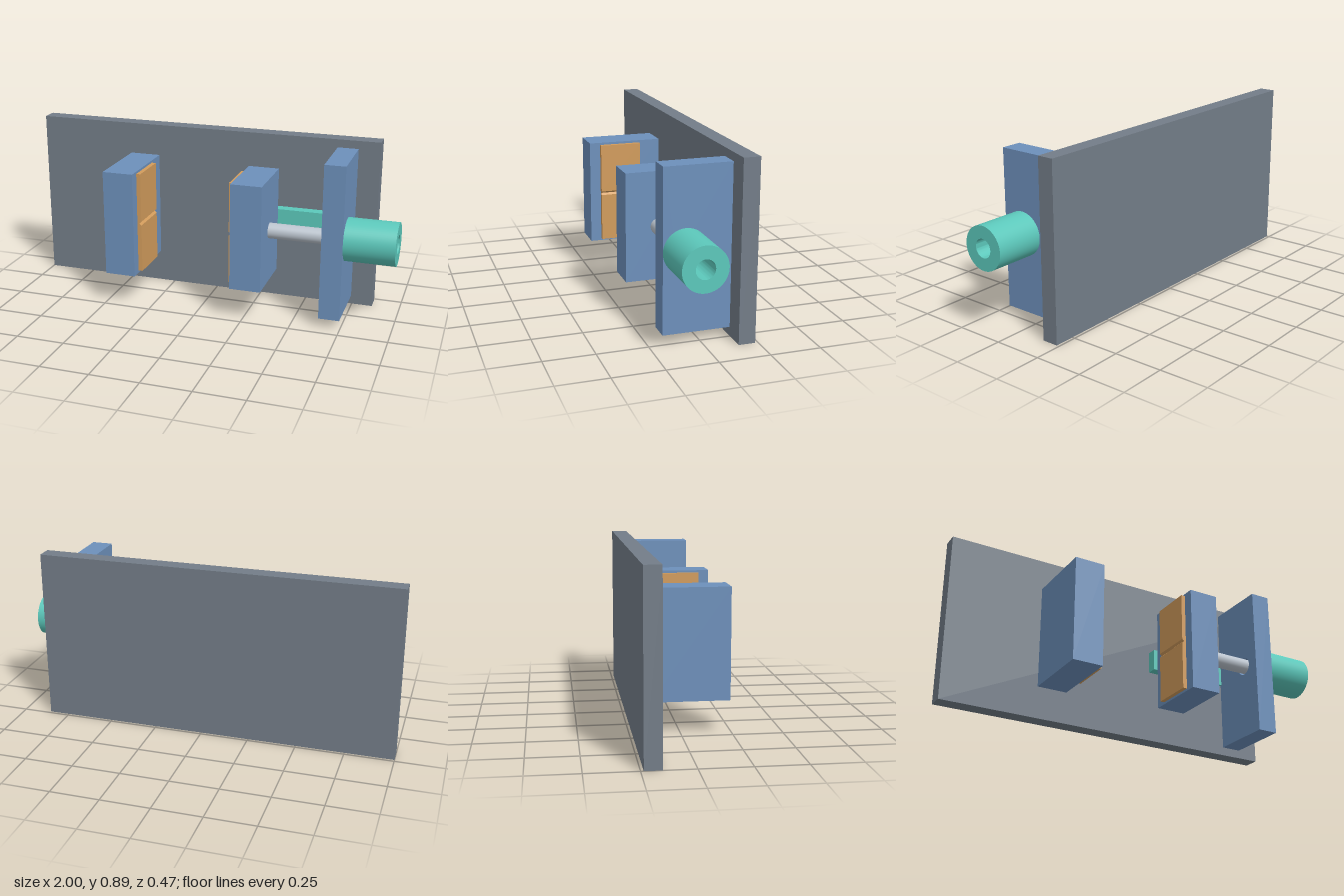
import * as THREE from 'three';
import { toCreasedNormals } from 'three/addons/utils/BufferGeometryUtils.js';

const mat = (name, color) => new THREE.MeshStandardMaterial({ name, color });

export function createModel() {
  const group = new THREE.Group();
  const grey = mat('plateGrey', 0x737d88);
  const blue = mat('jawBlue', 0x6d90bb);
  const teal = mat('driveTeal', 0x5cc8bb);
  const silver = mat('screwSilver', 0xbcc5cf);
  const orange = mat('padOrange', 0xd29c5c);

  const add = (name, geometry, material) => {
    const mesh = new THREE.Mesh(geometry, material);
    mesh.name = name;
    group.add(mesh);
    return mesh;
  };
  // box given by its limits on each axis
  const box = (name, [x0, x1], [y0, y1], [z0, z1], material) =>
    add(name, new THREE.BoxGeometry(x1 - x0, y1 - y0, z1 - z0), material)
      .position.set((x0 + x1) / 2, (y0 + y1) / 2, (z0 + z1) / 2);

  const axisY = 0.446, axisZ = 0.071, backZ = -0.153;
  const holeR = 0.047, jawY = [0.17, 0.725];

  // back plate, jaws and guide rail
  box('backPlate', [-1, 0.857], [0, 0.891], [-0.236, backZ], grey);
  box('fixedJaw', [-0.491, -0.33], jawY, [backZ, 0.238], blue);
  box('movingJaw', [0.187, 0.348], jawY, [-0.1, 0.238], blue);
  box('guideRail', [0.165, 0.605], [0.39, 0.505], [backZ, -0.1], teal);

  // grip pads with a V groove across the middle
  const pad = (name, x, dir) => {
    const t = 0.022 * dir, g = 0.01;
    const shape = new THREE.Shape([
      [0, 0.182], [t, 0.182], [t, axisY - g], [t * 0.5, axisY], [t, axisY + g],
      [t, 0.713], [0, 0.713],
    ].map(([px, py]) => new THREE.Vector2(px, py)));
    const geometry = new THREE.ExtrudeGeometry(shape, { depth: 0.22, bevelEnabled: false });
    add(name, geometry, orange).position.set(x, 0, -0.039);
  };
  pad('fixedPad', -0.33, 1);
  pad('movingPad', 0.187, -1);

  // bearing plate, bored for the screw
  const plate = new THREE.Shape([
    [-0.181, 0.045], [-backZ, 0.045], [-backZ, 0.849], [-0.181, 0.849],
  ].map(([px, py]) => new THREE.Vector2(px, py)));
  plate.holes.push(new THREE.Path().absarc(-axisZ, axisY, holeR, 0, Math.PI * 2, true));
  const plateGeometry = new THREE.ExtrudeGeometry(plate, { depth: 0.107, bevelEnabled: false, curveSegments: 32 });
  plateGeometry.rotateY(Math.PI / 2);
  add('bearingPlate', plateGeometry, blue).position.x = 0.638;

  // drive screw
  const screw = new THREE.CylinderGeometry(0.04, 0.04, 0.41, 48).rotateZ(-Math.PI / 2);
  add('driveScrew', screw, silver).position.set(0.545, axisY, axisZ);

  // hollow drive housing
  const profile = [[holeR, 0], [0.11, 0], [0.11, 0.255], [holeR, 0.255], [holeR, 0]]
    .map(([r, h]) => new THREE.Vector2(r, h));
  const housing = toCreasedNormals(new THREE.LatheGeometry(profile, 64), 0.6).rotateZ(-Math.PI / 2);
  add('driveHousing', housing, teal).position.set(0.745, axisY, axisZ);

  return group;
}
